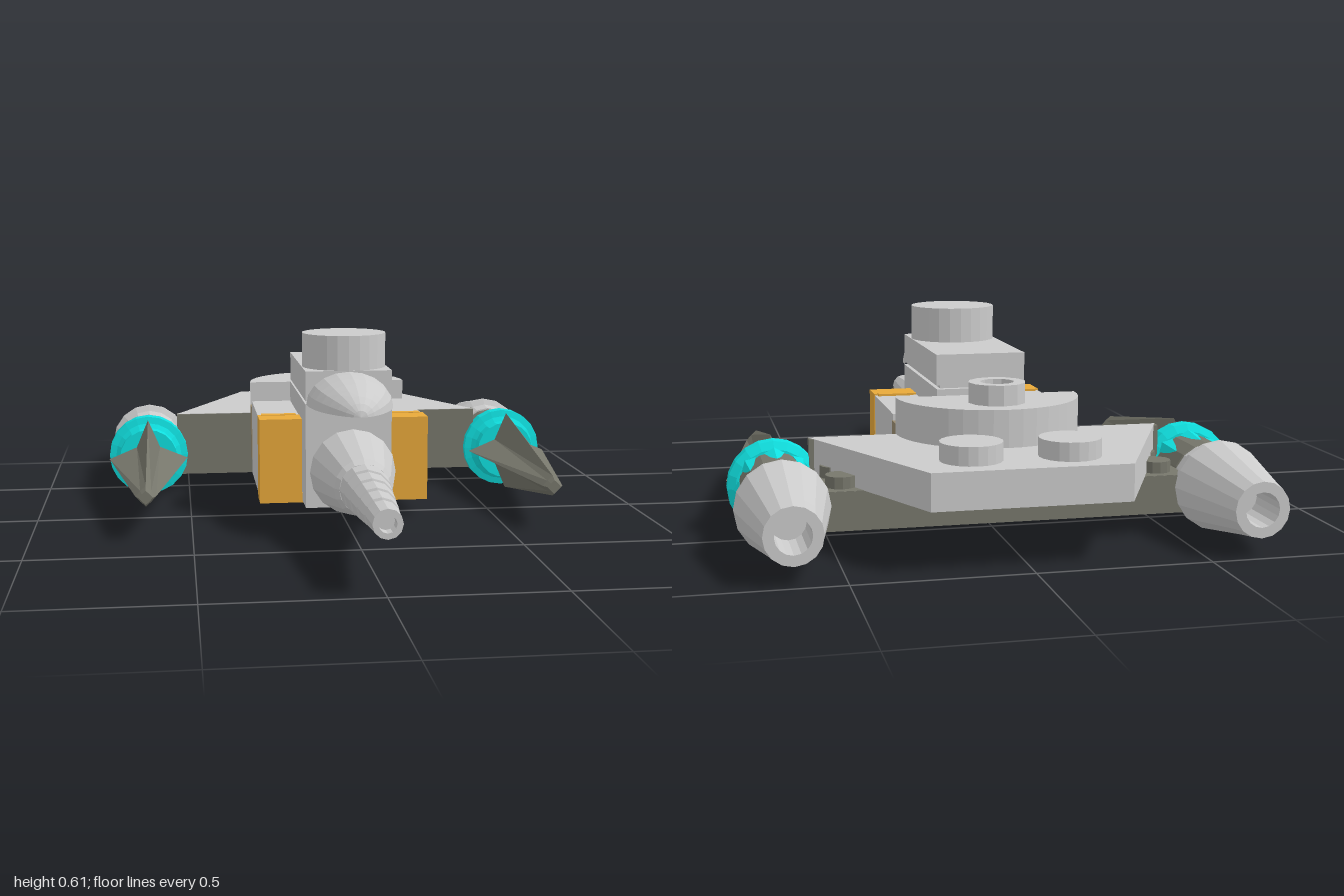
import * as THREE from 'three';

const mat = (color) => new THREE.MeshStandardMaterial({ color, flatShading: true });

export function createModel() {
  const root = new THREE.Group();
  const grey = mat(0xcccccc), dark = mat(0x77776c), tan = mat(0x9a8c70);
  const gold = mat(0xe8a93a), cyan = mat(0x10e0e0);

  const add = (name, geo, material = grey, parent = root) => {
    const mesh = new THREE.Mesh(geo, material);
    mesh.name = name;
    parent.add(mesh);
    return mesh;
  };
  // Box from its min and max limits
  const box = (x0, x1, y0, y1, z0, z1) =>
    new THREE.BoxGeometry(x1 - x0, y1 - y0, z1 - z0)
      .translate((x0 + x1) / 2, (y0 + y1) / 2, (z0 + z1) / 2);
  const lathe = (pts, sides = 16) =>
    new THREE.LatheGeometry(pts.map(([r, h]) => new THREE.Vector2(r, h)), sides);
  // Lathe about the z axis: pairs of radius and z, z ascending on the outside
  const latheZ = (pts, sides) => lathe(pts, sides).rotateX(Math.PI / 2);
  const stud = (x, z, r, y0, y1, sides = 20) =>
    new THREE.CylinderGeometry(r, r, y1 - y0, sides).translate(x, (y0 + y1) / 2, z);
  const outline = (pts, Type = THREE.Shape) =>
    new Type(pts.map(([x, z]) => new THREE.Vector2(x, -z)));
  // Plan-view slab between two heights
  const slab = (shape, y0, y1) =>
    new THREE.ExtrudeGeometry(shape, { depth: y1 - y0, bevelEnabled: false, curveSegments: 10 })
      .rotateX(-Math.PI / 2).translate(0, y0, 0);

  // Central fuselage with a grooved upper brick
  add('centralBody', box(-0.138, 0.138, 0.065, 0.4, -0.36, 0.2));
  add('upperBrickWaist', box(-0.125, 0.125, 0.39, 0.42, -0.34, 0.19));
  add('upperBrick', box(-0.138, 0.138, 0.41, 0.505, -0.35, 0.2));
  add('topDisc', stud(0, 0.065, 0.136, 0.5, 0.615, 24));

  // Side blocks and the gold bracket that wraps them
  for (const s of [-1, 1]) {
    const side = new THREE.Group();
    side.name = s > 0 ? 'leftFlank' : 'rightFlank';
    root.add(side);
    const sideBox = (a, b, ...rest) => box(Math.min(s * a, s * b), Math.max(s * a, s * b), ...rest);
    add('sideBlock', sideBox(0.13, 0.275, 0.07, 0.33, -0.36, -0.01), grey, side);
    add('bracketPost', sideBox(0.139, 0.277, 0.06, 0.335, -0.015, 0.085), gold, side);
    add('bracketLip', sideBox(0.15, 0.265, 0.3, 0.337, -0.03, 0.0), gold, side);
  }
  add('bracketBar', box(-0.277, 0.277, 0.058, 0.09, -0.015, 0.085), gold);

  // Pointed cowl: half ellipsoid with a flat underside
  const cowl = new THREE.SphereGeometry(1, 20, 8, 0, Math.PI * 2, 0, Math.PI / 2).rotateX(Math.PI / 2);
  const cp = cowl.attributes.position;
  for (let i = 0; i < cp.count; i++) {
    const pinch = 1 - 0.2 * cp.getZ(i) ** 3;
    cp.setXYZ(i, cp.getX(i) * 0.136 * pinch, 0.4 + Math.max(0, cp.getY(i)) * 0.102, 0.2 + cp.getZ(i) * 0.28);
  }
  add('cowl', cowl);

  // Nose cone and the stepped drill ahead of it
  const noseY = 0.2;
  add('noseCone', latheZ([[0, 0.19], [0.1, 0.19], [0.1, 0.27], [0.128, 0.275], [0.135, 0.3],
    [0.088, 0.54], [0.075, 0.56], [0, 0.56]], 16).translate(0, noseY, 0));
  const drillPts = [[0, 0.53]];
  const steps = 5;
  for (let i = 0; i < steps; i++) {
    const z = 0.54 + i * 0.09, r = 0.076 - i * 0.0075;
    drillPts.push([r - 0.006, z], [r, z + 0.012], [r - 0.004, z + 0.085]);
  }
  drillPts.push([0.042, 1], [0.025, 1], [0.025, 0.96], [0, 0.96]);
  const drill = latheZ(drillPts, 12);
  const dp = drill.attributes.position;
  for (let i = 0; i < dp.count; i++) {
    // Slant the ridges so they read as a thread
    const z = dp.getZ(i);
    if (z > 0.55 && z < 0.95) dp.setZ(i, z + 0.25 * dp.getX(i));
  }
  add('noseDrill', drill.translate(0, noseY, 0));

  // Rear wing plate: thin top, deep rim and ribs below
  const rim = outline([[-0.54, -0.42], [0.54, -0.42], [0.28, -0.97], [-0.28, -0.97]]);
  add('wingTop', slab(rim, 0.24, 0.28));
  const hollowRim = rim.clone();
  hollowRim.holes.push(outline([[-0.47, -0.46], [-0.255, -0.93], [0.255, -0.93], [0.47, -0.46]], THREE.Path));
  add('wingRim', slab(hollowRim, 0.175, 0.28));
  for (const x of [-0.14, 0, 0.14]) add('wingRib', box(x - 0.015, x + 0.015, 0.18, 0.25, -0.94, -0.45));
  add('wingCrossRib', box(-0.3, 0.3, 0.18, 0.25, -0.84, -0.81));
  for (const x of [-0.14, 0.14]) add('wingStud', stud(x, -0.83, 0.088, 0.27, 0.333));

  // Half-round turret with a hollow stud
  const half = new THREE.Shape();
  half.moveTo(-0.277, 0.42);
  half.lineTo(0.277, 0.42);
  half.absarc(0, 0.42, 0.277, 0, Math.PI, false);
  add('halfRoundTurret', slab(half, 0.27, 0.39));
  add('turretStud', lathe([[0.085, 0.38], [0.085, 0.45], [0.05, 0.45], [0.05, 0.4], [0, 0.4]], 12)
    .translate(0, 0, -0.555));

  // Tan connecting brick between fuselage and wing
  add('connector', box(-0.277, 0.277, 0.12, 0.31, -0.42, -0.355), tan);
  add('connectorPlate', box(-0.275, 0.275, 0.12, 0.18, -0.68, -0.4), tan);
  for (const x of [-0.16, 0, 0.16]) add('connectorPeg', stud(x, -0.56, 0.05, 0.075, 0.13, 10), tan);

  // Dark crossbar, open underneath, carrying both engines
  const bar = outline([[-0.55, -0.425], [0.55, -0.425], [0.55, -0.69], [-0.55, -0.69]]);
  for (let i = 0; i < 6; i++) {
    const x = -0.51 + i * 0.173, w = 0.14;
    bar.holes.push(outline([[x, -0.465], [x, -0.65], [x + w, -0.65], [x + w, -0.465]], THREE.Path));
  }
  add('crossbarFrame', slab(bar, 0.062, 0.175), dark);
  add('crossbarTop', box(-0.549, 0.549, 0.14, 0.176, -0.689, -0.426), dark);
  for (const s of [-1, 1]) {
    add('crossbarFace', box(s * 0.405 - 0.135, s * 0.405 + 0.135, 0.062, 0.279, -0.45, -0.415), dark);
    for (const z of [-0.49, -0.62]) add('crossbarStud', stud(s * 0.47, z, 0.045, 0.17, 0.21, 12), dark);
  }

  // Engines: nozzle, barrel, toothed cyan ring and a four-edged spike
  const makeEngine = (name, x) => {
    const engine = new THREE.Group();
    engine.name = name;
    engine.position.set(x, 0.139, 0);
    root.add(engine);
    add('nozzle', latheZ([[0, -0.85], [0.05, -0.85], [0.05, -1], [0.08, -1], [0.088, -0.95],
      [0.135, -0.7], [0.135, -0.685], [0.115, -0.675], [0.11, -0.615], [0, -0.615]]), grey, engine);
    add('barrel', latheZ([[0, -0.63], [0.095, -0.63], [0.108, -0.6], [0.108, -0.43], [0, -0.43]]), dark, engine);
    add('ring', latheZ([[0, -0.45], [0.115, -0.45], [0.138, -0.435], [0.138, -0.39], [0.115, -0.385],
      [0.1, -0.375], [0.1, -0.33], [0, -0.33]], 20), cyan, engine);
    for (let i = 0; i < 8; i++) {
      const tooth = new THREE.ConeGeometry(0.035, 0.14, 4).rotateX(-Math.PI / 2)
        .scale(1, 0.5, 1).translate(0, 0.105, -0.5).rotateZ(i * Math.PI / 4);
      add('ringTooth', tooth, cyan, engine);
    }
    const spike = latheZ([[0, -0.345], [0.115, -0.345], [0.136, -0.325], [0.032, 0.3], [0.022, 0.322], [0, 0.322]], 8);
    const p = spike.attributes.position;
    for (let i = 0; i < p.count; i++) {
      // Pull in the diagonal corners to form a four-pointed star
      const px = p.getX(i), py = p.getY(i), r = Math.hypot(px, py);
      if (Math.abs(px * py) > 0.2 * r * r && r > 0) {
        const k = r > 0.06 ? 0.42 : 0.75;
        p.setXY(i, px * k, py * k);
      }
    }
    add('spike', spike, dark, engine);
  };
  makeEngine('leftEngine', 0.642);
  makeEngine('rightEngine', -0.642);

  return root;
}
